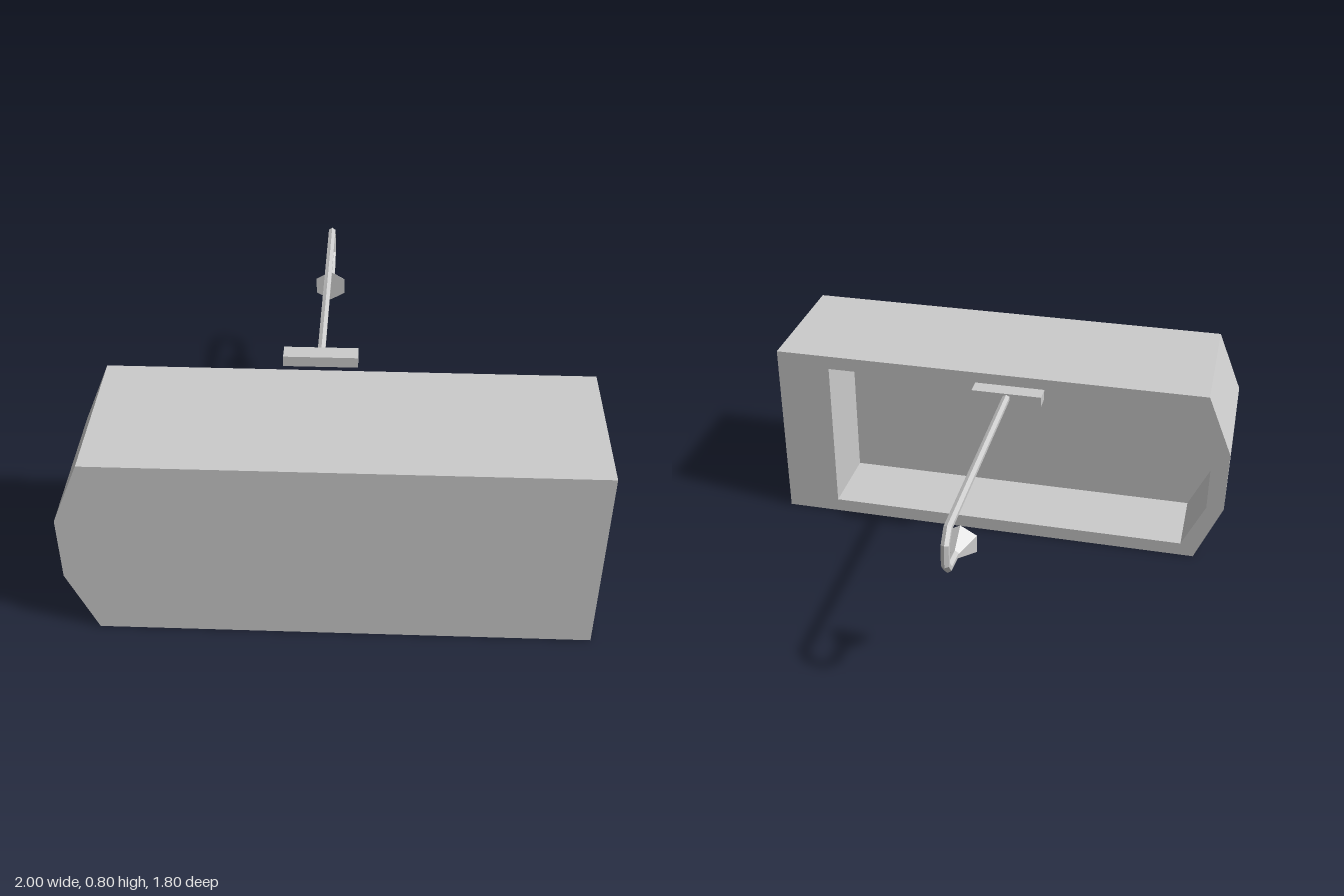
import * as THREE from 'three';

const material = new THREE.MeshStandardMaterial({ color: 0xcccccc, flatShading: true });

function add(parent, name, geometry, x = 0, y = 0, z = 0) {
  const mesh = new THREE.Mesh(geometry, material);
  mesh.name = name;
  mesh.position.set(x, y, z);
  parent.add(mesh);
}

// Skin through closed rings: faces outward when rings run counter-clockwise
// about the direction of travel, inward when they run clockwise
function skin(rings) {
  const pos = [];
  const n = rings[0].length;
  for (let i = 0; i < rings.length - 1; i++) {
    for (let j = 0; j < n; j++) {
      const k = (j + 1) % n;
      const [a, b, c, d] = [rings[i][j], rings[i][k], rings[i + 1][k], rings[i + 1][j]];
      for (const p of [a, b, c, a, c, d]) pos.push(p.x, p.y, p.z);
    }
  }
  const geometry = new THREE.BufferGeometry();
  geometry.setAttribute('position', new THREE.Float32BufferAttribute(pos, 3));
  geometry.computeVertexNormals();
  return geometry;
}

const ringAt = (outline, z) => outline.map(([x, y]) => new THREE.Vector3(x, y, z));
const toPoints = (outline) => outline.map(([x, y]) => new THREE.Vector2(x, y));

// Flat face facing +z, or -z when it faces the back
function flatFace(outline, facesBack, hole) {
  const shape = new THREE.Shape(toPoints(outline));
  if (hole) shape.holes.push(new THREE.Path(toPoints(hole)));
  const geometry = new THREE.ShapeGeometry(shape);
  if (facesBack) {
    geometry.index.array.reverse();
    geometry.computeVertexNormals();
  }
  return geometry;
}

function createHousing() {
  const group = new THREE.Group();
  group.name = 'housing';
  const outer = [[-0.89, 0], [1, 0], [1, 0.803], [-0.89, 0.803], [-1, 0.54], [-1, 0.267]];
  const inner = [[-0.83, 0.06], [0.765, 0.06], [0.765, 0.743], [-0.83, 0.743], [-0.925, 0.54], [-0.925, 0.265]];
  const back = 0.285, floor = 0.62, front = 0.9;
  add(group, 'outerWalls', skin([ringAt(outer, back), ringAt(outer, front)]));
  add(group, 'cavityWalls', skin([ringAt(inner, floor), ringAt(inner, back)]));
  add(group, 'frontFace', flatFace(outer, false), 0, 0, front);
  add(group, 'backRim', flatFace(outer, true, inner), 0, 0, back);
  add(group, 'cavityEnd', flatFace(inner, true), 0, 0, floor);
  return group;
}

// Six-sided pipe following a path of [z, y] points, mitred at the corners
function pipeGeometry(path, radius) {
  const pts = path.map(([z, y]) => new THREE.Vector3(0, y, z));
  const side = new THREE.Vector3(1, 0, 0);
  const rings = pts.map((p, i) => {
    const dirIn = p.clone().sub(pts[Math.max(i - 1, 0)]).normalize();
    const dirOut = pts[Math.min(i + 1, pts.length - 1)].clone().sub(p).normalize();
    const tangent = dirIn.add(dirOut).normalize();
    const up = tangent.clone().cross(side);
    return Array.from({ length: 6 }, (_, j) => {
      const angle = Math.PI / 6 + (j * Math.PI) / 3;
      return p.clone()
        .addScaledVector(side, radius * Math.cos(angle))
        .addScaledVector(up, radius * Math.sin(angle));
    });
  });
  return skin(rings);
}

function createArm() {
  const group = new THREE.Group();
  group.name = 'arm';
  group.position.x = -0.065;
  // Mounting bar at the near end
  add(group, 'mountingBar', new THREE.BoxGeometry(0.295, 0.045, 0.07), 0, 0.78, 0.163);
  // Long rod that hooks down and back at its far end
  const path = [[0.13, 0.782], [-0.845, 0.781], [-0.885, 0.734], [-0.887, 0.652], [-0.855, 0.613], [-0.74, 0.602]];
  add(group, 'hookedRod', pipeGeometry(path, 0.017));
  // Flared tip, opening toward the front
  const tip = new THREE.ConeGeometry(0.073, 0.12, 6).rotateX(-Math.PI / 2);
  add(group, 'flaredTip', tip, 0, 0.6, -0.726);
  return group;
}

export function createModel() {
  const model = new THREE.Group();
  model.name = 'model';
  model.add(createHousing(), createArm());
  return model;
}
